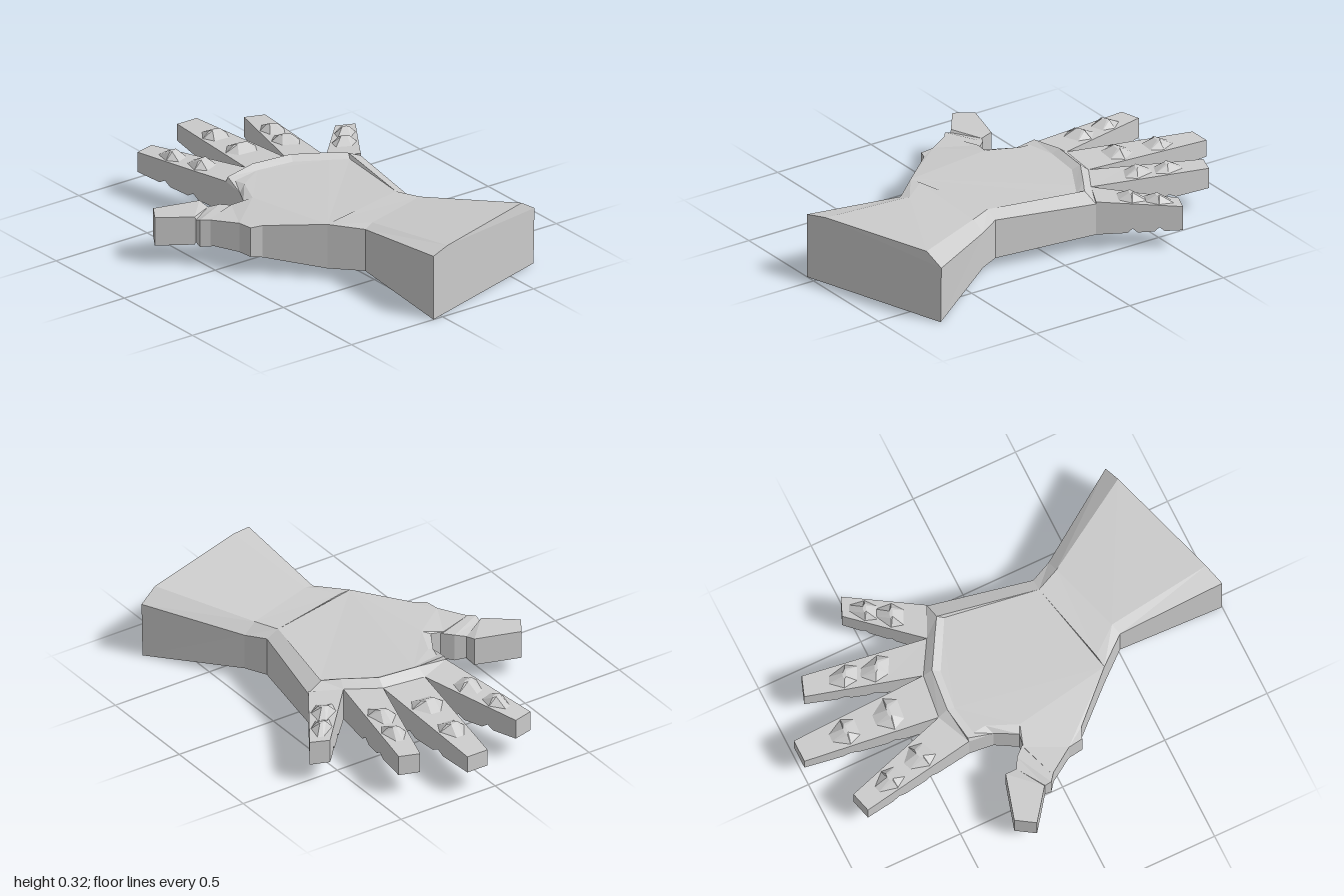
import * as THREE from 'three';

const material = new THREE.MeshStandardMaterial({ color: 0xcccccc, flatShading: true });

// Fill the end of a loft, facing the way its ring runs (or the opposite way)
function capTriangles(ring, reverse) {
  const normal = new THREE.Vector3();
  ring.forEach((p, i) => normal.add(p.clone().cross(ring[(i + 1) % ring.length])));
  if (reverse) normal.negate();
  const size = normal.toArray().map(Math.abs);
  const drop = size.indexOf(Math.max(...size));
  const flat = ring.map((p) => new THREE.Vector2(...p.toArray().filter((_, k) => k !== drop)));
  return THREE.ShapeUtils.triangulateShape(flat, []).map(([a, b, c]) => {
    const n = ring[b].clone().sub(ring[a]).cross(ring[c].clone().sub(ring[a]));
    return n.dot(normal) < 0 ? [ring[a], ring[c], ring[b]] : [ring[a], ring[b], ring[c]];
  });
}

// Closed faceted solid through rings of [x, y, z] points
function loft(name, sections) {
  const rings = sections.map((s) => s.map((p) => new THREE.Vector3(...p)));
  const tris = [...capTriangles(rings[0], true), ...capTriangles(rings[rings.length - 1], false)];
  for (let r = 0; r + 1 < rings.length; r++) {
    const a = rings[r], b = rings[r + 1];
    a.forEach((p, i) => {
      const j = (i + 1) % a.length;
      tris.push([p, a[j], b[j]], [p, b[j], b[i]]);
    });
  }
  // Turn the solid outward if its volume came out negative
  const volume = tris.reduce((v, [a, b, c]) => v + a.dot(b.clone().cross(c)), 0);
  if (volume < 0) tris.forEach((t) => t.reverse());
  const geometry = new THREE.BufferGeometry().setFromPoints(tris.flat());
  geometry.computeVertexNormals();
  const mesh = new THREE.Mesh(geometry, material);
  mesh.name = name;
  return mesh;
}

const lerp = THREE.MathUtils.lerp;
// Height of the palm side, rising toward the fingertips and the thumb
const under = (x, z) => Math.max(0.05, 0.05 + 0.055 * (0.27 - z), 0.05 + 0.16 * (-0.16 - x));

function createCuff() {
  return loft('cuff', [
    [[-0.05, 0, 1], [0.665, 0, 0.78], [0.67, 0.265, 0.78], [0.585, 0.32, 0.8], [0.05, 0.32, 0.97], [-0.05, 0.305, 1]],
    [[-0.05, 0.055, 0.5], [0.4, 0.05, 0.37], [0.4, 0.22, 0.37], [0.34, 0.265, 0.38], [0, 0.27, 0.485], [-0.05, 0.255, 0.5]],
    [[-0.16, 0.05, 0.37], [0.35, 0.05, 0.27], [0.35, 0.235, 0.27], [0.29, 0.265, 0.27], [-0.1, 0.266, 0.36], [-0.16, 0.262, 0.37]],
  ]);
}

function createPalm() {
  // Each entry: rim point, then the inner plate point and knuckle ridge point where they differ
  const outline = [
    { rim: [-0.16, 0.262, 0.37] },
    { rim: [-0.36, 0.235, 0.16] },
    { rim: [-0.41, 0.23, 0.14] },
    { rim: [-0.42, 0.23, 0.07] },
    { rim: [-0.5, 0.225, -0.05] },
    { rim: [-0.33, 0.23, -0.11] },
    { rim: [-0.27, 0.235, -0.1], plate: [-0.235, 0.25, -0.08] },
    { rim: [-0.215, 0.225, -0.2], plate: [-0.175, 0.25, -0.22] },
    { rim: [-0.205, 0.235, -0.315], plate: [-0.18, 0.245, -0.28], ridge: [-0.195, 0.255, -0.315] },
    { rim: [-0.045, 0.235, -0.385], plate: [-0.04, 0.248, -0.305], ridge: [-0.04, 0.268, -0.34] },
    { rim: [0.16, 0.235, -0.36], plate: [0.14, 0.248, -0.285], ridge: [0.155, 0.268, -0.32] },
    { rim: [0.31, 0.235, -0.27], plate: [0.28, 0.248, -0.205], ridge: [0.3, 0.268, -0.235] },
    { rim: [0.45, 0.225, -0.2], plate: [0.36, 0.247, -0.16], ridge: [0.375, 0.262, -0.19] },
    { rim: [0.35, 0.235, 0.27], plate: [0.29, 0.265, 0.27] },
  ];
  return loft('palm', [
    outline.map(({ rim: [x, , z] }) => [x, under(x, z), z]),
    outline.map((p) => p.rim),
    outline.map((p) => p.ridge || p.rim),
    outline.map((p) => p.plate || p.rim),
  ]);
}

// Finger tapering between two base corners and two tip corners, [x, z] each
function createFinger({ name, base, tip, tipTop, joints }) {
  const finger = new THREE.Group();
  finger.name = name;
  const edge = (side, t) => [0, 1].map((k) => lerp(base[side][k], tip[side][k], t));
  const top = (t) => lerp(0.235, tipTop, t);

  // Body with a crease on the underside at each joint
  const stations = [[0, 0], ...joints.flatMap((t) => [[t - 0.06, 0], [t, 0.02], [t + 0.06, 0]]), [1, 0]];
  finger.add(loft(name + 'Body', stations.map(([t, crease]) => {
    const [lx, lz] = edge(0, t), [rx, rz] = edge(1, t);
    return [
      [lx, under(0, lz) + crease, lz], [rx, under(0, rz) + crease, rz],
      [rx, top(t), rz], [lx, top(t), lz],
    ];
  })));

  // Faceted knuckle bump over each joint: u runs to the tip, v runs across
  const plan = [[-0.065, -0.27], [-0.065, 0.27], [0, 0.48], [0.08, 0.15], [0.08, -0.15], [0, -0.48]];
  const length = Math.hypot(...[0, 1].map((k) => (tip[0][k] + tip[1][k] - base[0][k] - base[1][k]) / 2));
  joints.forEach((t) => {
    const at = (u, v, lift) => {
      const s = t + u / length, l = edge(0, s), r = edge(1, s);
      return [lerp(l[0], r[0], v + 0.5), top(s) + lift, lerp(l[1], r[1], v + 0.5)];
    };
    finger.add(loft(name + 'Knuckle', [
      plan.map(([u, v]) => at(u, v, -0.005)),
      plan.map(([u, v]) => at(u * 0.1, v * 0.4, 0.03)),
    ]));
  });
  return finger;
}

function createThumb() {
  // Outer and inner edge [x, z] with bottom and top heights; the narrow station is the joint
  const stations = [
    [[-0.48, -0.03], [-0.31, -0.1], 0.1, 0.225],
    [[-0.53, -0.07], [-0.36, -0.155], 0.095, 0.225],
    [[-0.53, -0.1], [-0.405, -0.18], 0.105, 0.215],
    [[-0.535, -0.105], [-0.41, -0.235], 0.095, 0.228],
    [[-0.675, -0.21], [-0.62, -0.295], 0.09, 0.225],
  ];
  return loft('thumb', stations.map(([[ax, az], [bx, bz], lo, hi]) =>
    [[ax, lo, az], [bx, lo, bz], [bx, hi, bz], [ax, hi, az]]));
}

export function createModel() {
  const hand = new THREE.Group();
  hand.name = 'glovedHand';
  hand.add(createCuff(), createPalm(), createThumb());
  const fingers = [
    { name: 'indexFinger', base: [[-0.205, -0.315], [-0.045, -0.385]], tip: [[-0.29, -0.85], [-0.195, -0.875]], tipTop: 0.207, joints: [0.37, 0.69] },
    { name: 'middleFinger', base: [[-0.045, -0.385], [0.16, -0.36]], tip: [[0.04, -1], [0.147, -1]], tipTop: 0.2, joints: [0.32, 0.65] },
    { name: 'ringFinger', base: [[0.16, -0.36], [0.31, -0.27]], tip: [[0.31, -0.87], [0.402, -0.837]], tipTop: 0.207, joints: [0.4, 0.66] },
    { name: 'littleFinger', base: [[0.31, -0.27], [0.45, -0.2]], tip: [[0.575, -0.555], [0.66, -0.52]], tipTop: 0.208, joints: [0.42, 0.73] },
  ];
  fingers.forEach((f) => hand.add(createFinger(f)));
  return hand;
}
